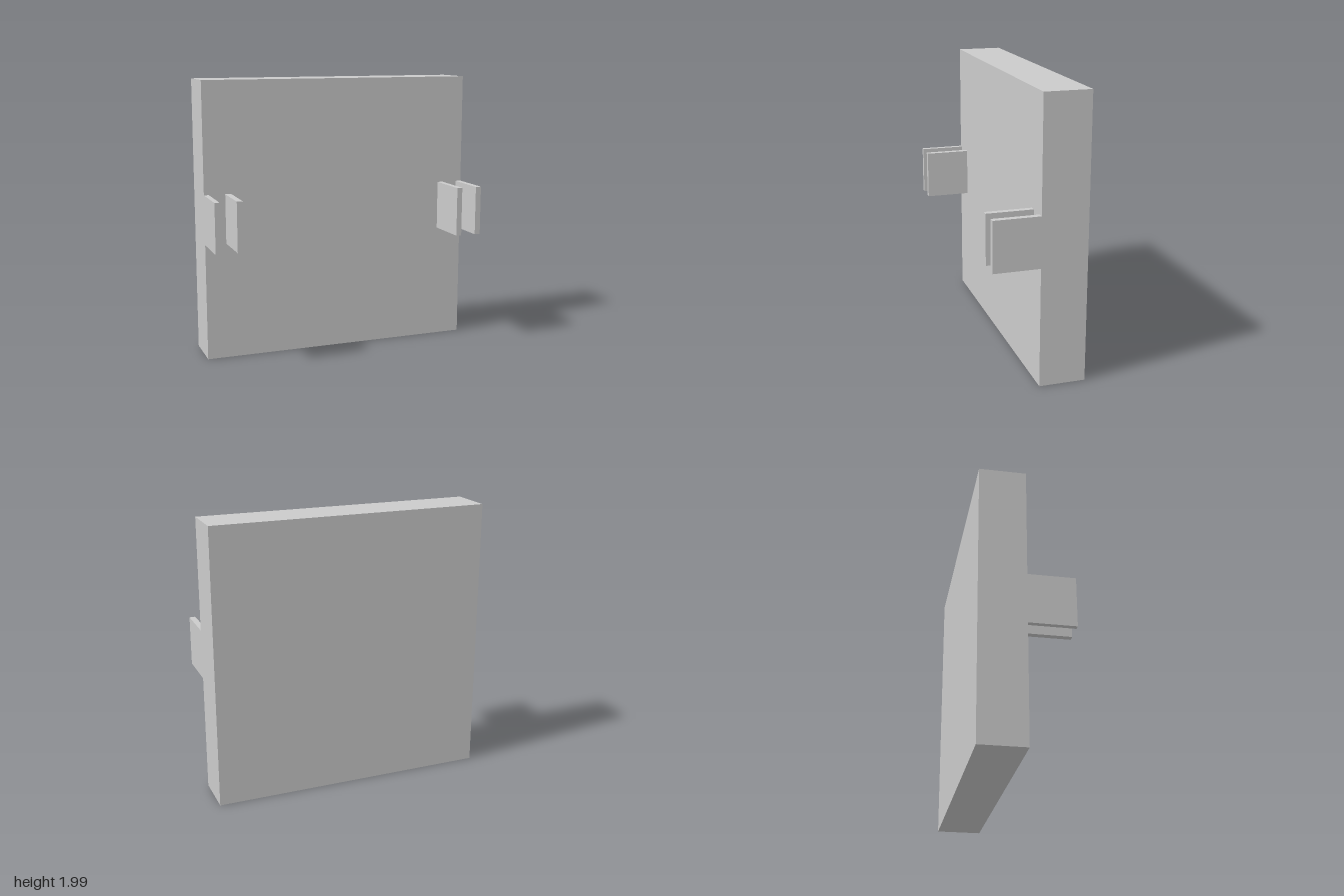
import * as THREE from 'three';

const material = new THREE.MeshStandardMaterial({ color: 0xcccccc, flatShading: true });

// Box given by its minimum and maximum corners
function boxBetween(name, [x0, y0, z0], [x1, y1, z1]) {
  const mesh = new THREE.Mesh(new THREE.BoxGeometry(x1 - x0, y1 - y0, z1 - z0), material);
  mesh.name = name;
  mesh.position.set((x0 + x1) / 2, (y0 + y1) / 2, (z0 + z1) / 2);
  return mesh;
}

export function createModel() {
  const model = new THREE.Group();
  model.name = 'panelWithBrackets';

  // Main upright slab
  model.add(boxBetween('panel', [-1, 0, -0.325], [1, 1.99, 0]));

  // A pair of thin plates standing out from the front near each side edge
  const brackets = {
    rightBracket: { outerPlate: [-1, -0.965], innerPlate: [-0.848, -0.806] },
    leftBracket: { innerPlate: [0.806, 0.846], outerPlate: [0.958, 1] },
  };
  for (const [name, plates] of Object.entries(brackets)) {
    const bracket = new THREE.Group();
    bracket.name = name;
    for (const [plate, [x0, x1]] of Object.entries(plates)) {
      bracket.add(boxBetween(plate, [x0, 0.84, 0], [x1, 1.195, 0.325]));
    }
    model.add(bracket);
  }
  return model;
}
